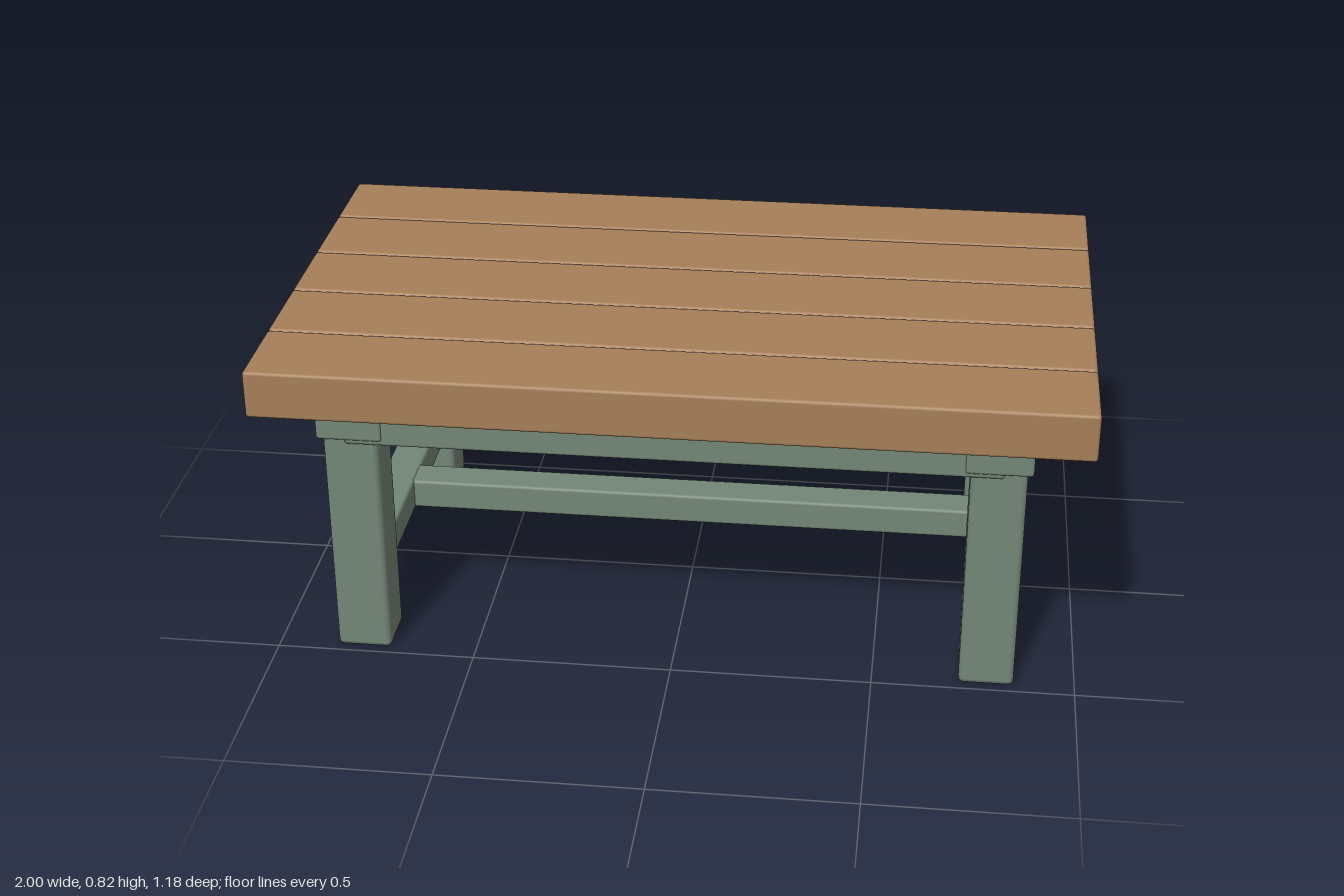
import * as THREE from 'three';
import { RoundedBoxGeometry } from 'three/addons/geometries/RoundedBoxGeometry.js';

export function createModel() {
  const table = new THREE.Group();
  table.name = 'table';
  const wood = new THREE.MeshStandardMaterial({ name: 'brown wood', color: 0xa67f58 });
  const paint = new THREE.MeshStandardMaterial({ name: 'sage paint', color: 0x738676 });

  // Softly rounded beam spanning the given ranges
  function beam(name, material, [x0, x1], [y0, y1], [z0, z1], radius = 0.008) {
    const geometry = new RoundedBoxGeometry(x1 - x0, y1 - y0, z1 - z0, 2, radius);
    const mesh = new THREE.Mesh(geometry, material);
    mesh.name = name;
    mesh.position.set((x0 + x1) / 2, (y0 + y1) / 2, (z0 + z1) / 2);
    table.add(mesh);
  }
  // Range of a given width around a centre
  const around = (centre, width) => [centre - width / 2, centre + width / 2];

  // Five top planks with narrow gaps
  for (let i = -2; i <= 2; i++) {
    beam('topPlank', wood, [-1, 1], [0.7, 0.82], around(i * 0.238, 0.233));
  }

  for (const sx of [-1, 1]) {
    // Legs with a collar block near the top
    for (const sz of [-1, 1]) {
      beam('leg', paint, around(sx * 0.782, 0.136), [0, 0.698], around(sz * 0.411, 0.137), 0.014);
      beam('legCollar', paint, around(sx * 0.782, 0.162), [0.597, 0.676], around(sz * 0.411, 0.163));
    }
    // Cross pieces joining each pair of legs
    beam('endApron', paint, around(sx * 0.782, 0.1), [0.575, 0.7], [-0.4, 0.4]);
    beam('endStretcher', paint, around(sx * 0.782, 0.09), [0.16, 0.245], [-0.4, 0.4]);
  }

  // Long aprons under the top, flush with the collars
  for (const sz of [-1, 1]) {
    beam('longApron', paint, [-0.795, 0.795], [0.585, 0.7], around(sz * 0.439, 0.098));
  }

  // Central stretcher whose ends poke through the end stretchers
  beam('longStretcher', paint, [-0.863, 0.863], [0.164, 0.243], around(0, 0.094));

  return table;
}
